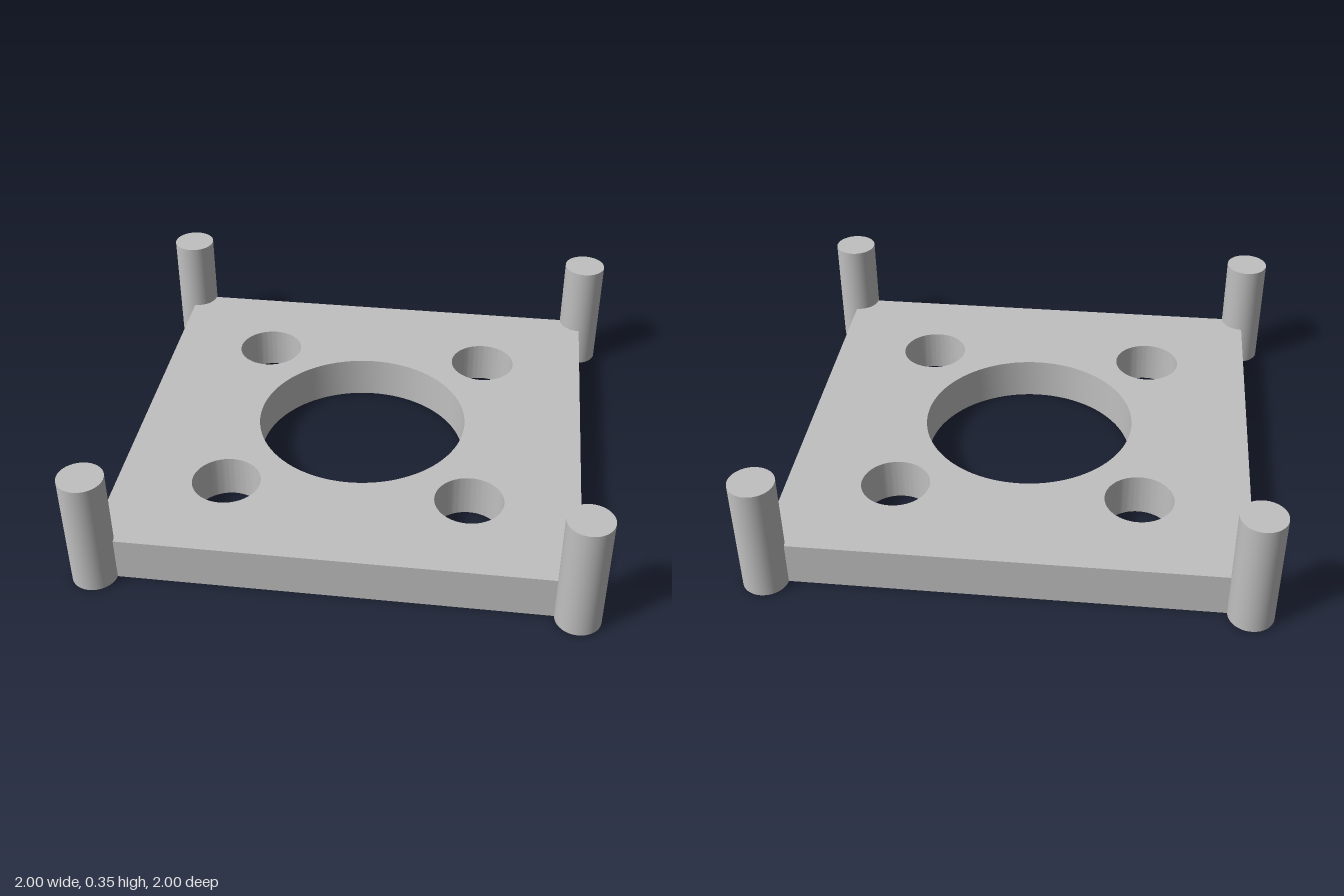
import * as THREE from 'three';
import { toCreasedNormals } from 'three/addons/utils/BufferGeometryUtils.js';

const PLATE_HEIGHT = 0.13, POST_HEIGHT = 0.35, POST_RADIUS = 0.064;
const REACH = 0.936, SKEW = 0.013;

// Corners of the slightly oblong diamond, as [x, z]
const CORNERS = [[REACH, -SKEW], [SKEW, -REACH], [-REACH, SKEW], [-SKEW, REACH]];

// Round hole through the plate, centred at x, z
function hole(x, z, radius) {
  return new THREE.Path().absarc(x, -z, radius, 0, Math.PI * 2, true);
}

export function createModel() {
  const model = new THREE.Group();
  model.name = 'mountingPlate';
  const grey = new THREE.MeshStandardMaterial({ color: 0xc0c0c0 });
  grey.name = 'grey';

  // Base plate with a central bore and four bolt holes
  const outline = new THREE.Shape(CORNERS.map(([x, z]) => new THREE.Vector2(x, -z)));
  outline.holes.push(hole(0, 0, 0.317));
  for (const [x, z] of [[0.5, 0], [0, 0.5], [-0.5, 0], [0, -0.5]]) {
    outline.holes.push(hole(x, z, 0.1));
  }
  const plateGeometry = new THREE.ExtrudeGeometry(outline, {
    depth: PLATE_HEIGHT, bevelEnabled: false, curveSegments: 48,
  });
  plateGeometry.rotateX(-Math.PI / 2);
  const plate = new THREE.Mesh(toCreasedNormals(plateGeometry, 0.5), grey);
  plate.name = 'basePlate';
  model.add(plate);

  // Round post on each corner
  const postGeometry = new THREE.CylinderGeometry(POST_RADIUS, POST_RADIUS, POST_HEIGHT, 48);
  const names = ['leftPost', 'backPost', 'rightPost', 'frontPost'];
  CORNERS.forEach(([x, z], i) => {
    const post = new THREE.Mesh(postGeometry, grey);
    post.name = names[i];
    post.position.set(x, POST_HEIGHT / 2, z);
    model.add(post);
  });

  return model;
}
